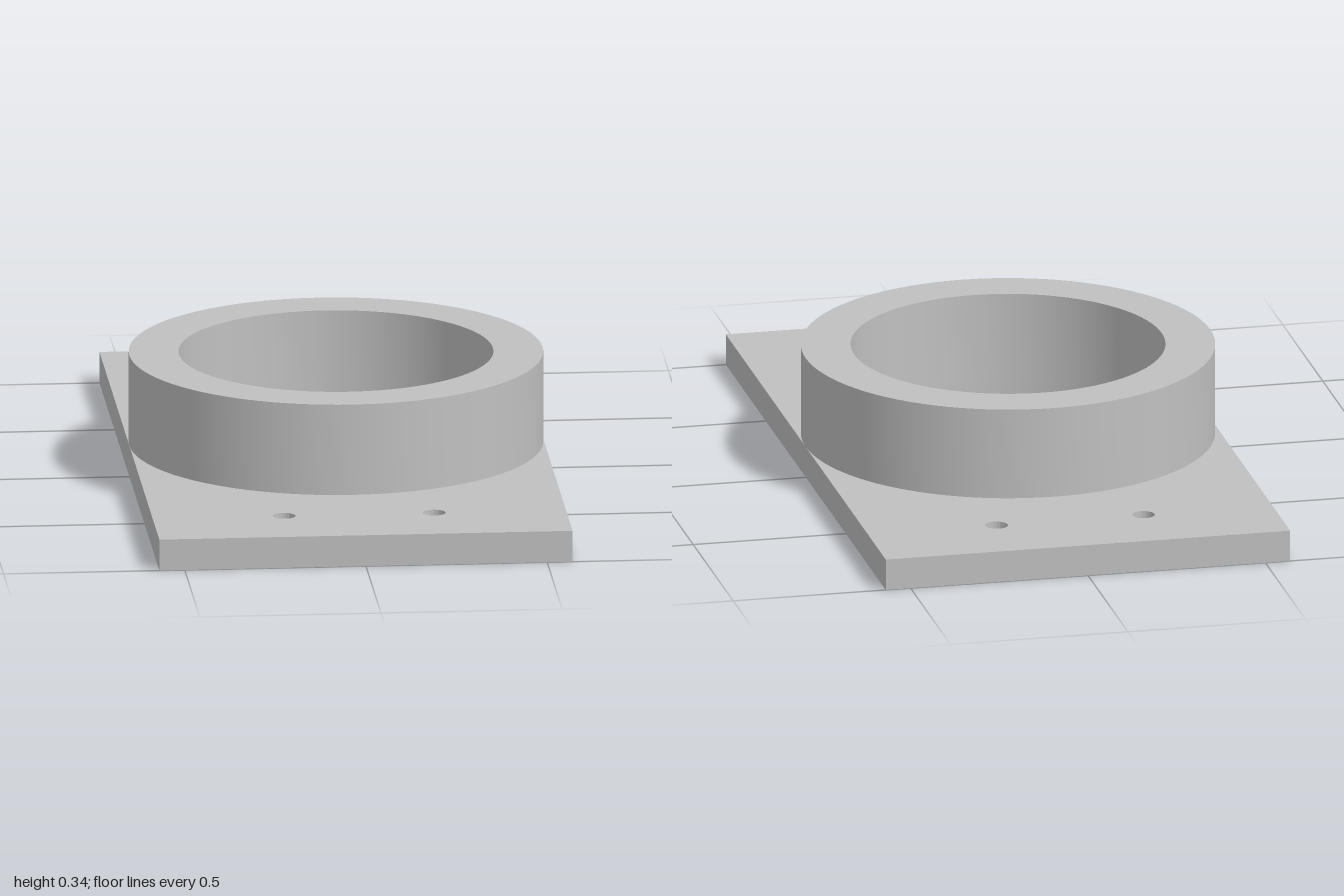
import * as THREE from 'three';
import { toCreasedNormals } from 'three/addons/utils/BufferGeometryUtils.js';

const HALF_WIDTH = 0.57, HALF_LENGTH = 1;
const PLATE_TOP = 0.088, COLLAR_TOP = 0.345;
const BORE_RADIUS = 0.433, BOLT_RADIUS = 0.031;

const circle = (Type, x, y, r) => new Type().absarc(x, y, r, 0, Math.PI * 2, false);

// Extrudes a plan outline upwards from y0 to y1, keeping rims sharp and bores smooth
function extrudeUp(shape, y0, y1) {
  const geometry = new THREE.ExtrudeGeometry(shape, {
    depth: y1 - y0, bevelEnabled: false, curveSegments: 48,
  });
  geometry.rotateX(-Math.PI / 2).translate(0, y0, 0);
  return toCreasedNormals(geometry, Math.PI / 6);
}

export function createModel() {
  const group = new THREE.Group();
  group.name = 'flangedCollar';
  const metal = new THREE.MeshStandardMaterial({ color: 0xc0c0c0 });
  metal.name = 'light grey metal';

  // Base plate with central bore and four bolt holes
  const plateShape = new THREE.Shape([
    new THREE.Vector2(-HALF_WIDTH, -HALF_LENGTH),
    new THREE.Vector2(HALF_WIDTH, -HALF_LENGTH),
    new THREE.Vector2(HALF_WIDTH, HALF_LENGTH),
    new THREE.Vector2(-HALF_WIDTH, HALF_LENGTH),
  ]);
  plateShape.holes.push(circle(THREE.Path, 0, 0, BORE_RADIUS));
  for (const x of [-0.207, 0.207]) {
    for (const z of [-0.776, 0.776]) {
      plateShape.holes.push(circle(THREE.Path, x, z, BOLT_RADIUS));
    }
  }
  const plate = new THREE.Mesh(extrudeUp(plateShape, 0, PLATE_TOP), metal);
  plate.name = 'basePlate';

  // Raised ring around the bore
  const collarShape = circle(THREE.Shape, 0, 0, HALF_WIDTH);
  collarShape.holes.push(circle(THREE.Path, 0, 0, BORE_RADIUS));
  const collar = new THREE.Mesh(extrudeUp(collarShape, PLATE_TOP, COLLAR_TOP), metal);
  collar.name = 'collar';

  group.add(plate, collar);
  return group;
}
